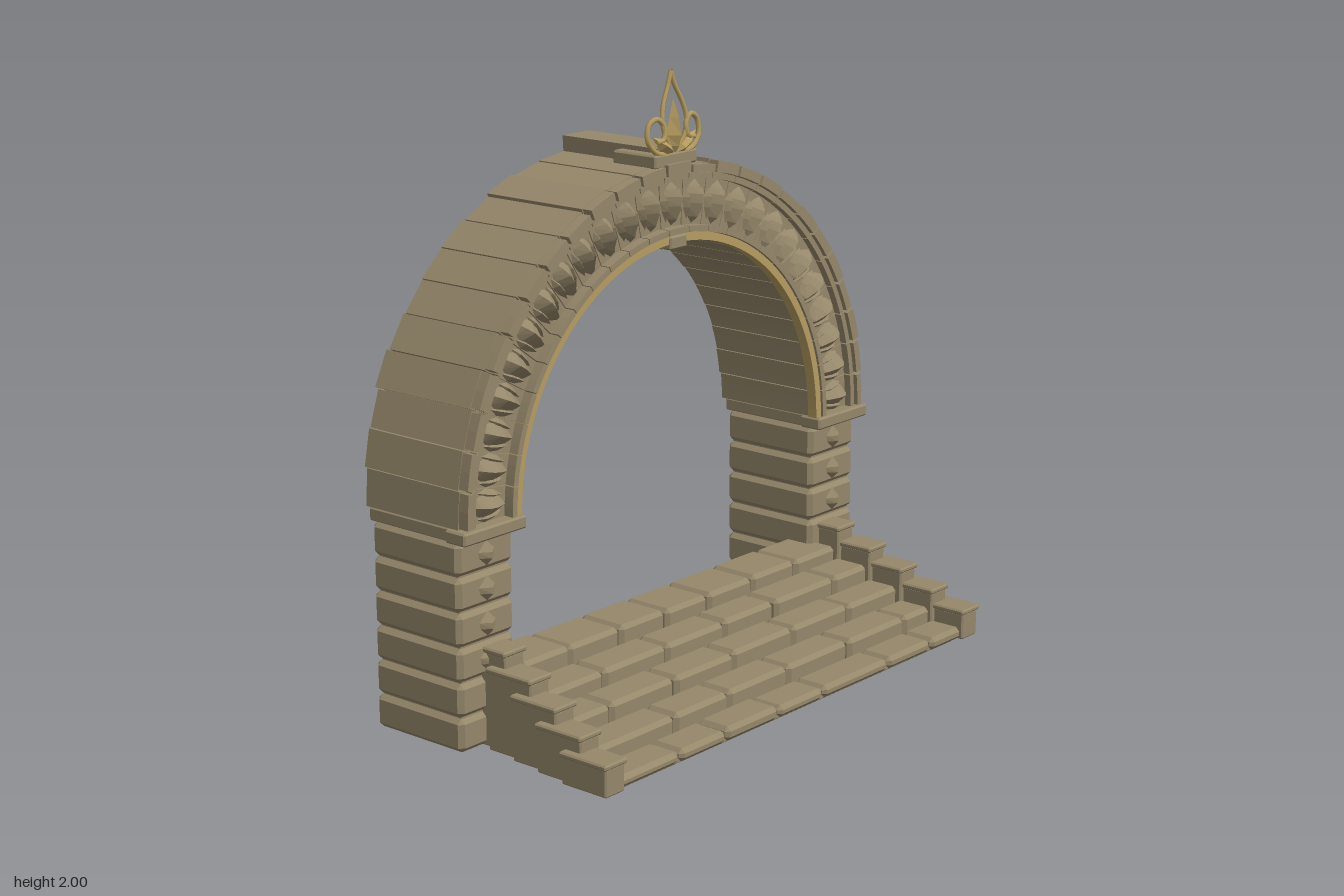
import * as THREE from 'three';
import { ConvexGeometry } from 'three/addons/geometries/ConvexGeometry.js';

const CY = 0.72; // height of the arch centre
const stone = new THREE.MeshStandardMaterial({ color: 0x95876a });
stone.name = 'stone';
stone.flatShading = true;
const gold = new THREE.MeshStandardMaterial({ color: 0xb59c60 });
gold.name = 'gold';
gold.side = THREE.DoubleSide;

let seed = 7;
const jitter = (a) => {
  seed = (seed * 16807) % 2147483647;
  return (seed / 2147483647 - 0.5) * 2 * a;
};

function add(parent, name, geometry, material = stone) {
  const mesh = new THREE.Mesh(geometry, material);
  mesh.name = name;
  parent.add(mesh);
  return mesh;
}

function group(parent, name) {
  const g = new THREE.Group();
  g.name = name;
  parent.add(g);
  return g;
}

// Box between two corners with chamfered edges
function block(x0, x1, y0, y1, z0, z1, c = 0.012) {
  const h = [(x1 - x0) / 2, (y1 - y0) / 2, (z1 - z0) / 2];
  const pts = [];
  for (const sx of [-1, 1]) for (const sy of [-1, 1]) for (const sz of [-1, 1]) {
    for (let k = 0; k < 3; k++) {
      const d = h.map((v, i) => (i === k ? v : v - c));
      pts.push(new THREE.Vector3(sx * d[0], sy * d[1], sz * d[2]));
    }
  }
  return new ConvexGeometry(pts).translate((x0 + x1) / 2, (y0 + y1) / 2, (z0 + z1) / 2);
}

// Curved wedge of the arch between two radii and two angles
function sector(r0, r1, a0, a1, z0, z1, inner = 3, outer = 3) {
  const shape = new THREE.Shape();
  for (let i = 0; i <= outer; i++) {
    const a = a0 + (a1 - a0) * i / outer;
    if (i === 0) shape.moveTo(r1 * Math.cos(a), r1 * Math.sin(a));
    else shape.lineTo(r1 * Math.cos(a), r1 * Math.sin(a));
  }
  for (let i = inner; i >= 0; i--) {
    const a = a0 + (a1 - a0) * i / inner;
    shape.lineTo(r0 * Math.cos(a), r0 * Math.sin(a));
  }
  shape.closePath();
  const g = new THREE.ExtrudeGeometry(shape, { depth: z1 - z0, bevelEnabled: false });
  return g.translate(0, CY, z0);
}

// Faceted leaf: mirrored half outline [x, y] from base to tip, raised along a ridge
function leaf(half, depth) {
  const n = half.length - 1;
  const pos = [];
  for (let i = 0; i < n; i++) {
    const [xa, ya] = half[i], [xb, yb] = half[i + 1];
    const ra = [0, ya, depth * Math.sin(Math.PI * i / n)];
    const rb = [0, yb, depth * Math.sin(Math.PI * (i + 1) / n)];
    pos.push(...ra, xa, ya, 0, xb, yb, 0, ...ra, xb, yb, 0, ...rb);
    pos.push(...ra, -xb, yb, 0, -xa, ya, 0, ...ra, ...rb, -xb, yb, 0);
  }
  const g = new THREE.BufferGeometry();
  g.setAttribute('position', new THREE.Float32BufferAttribute(pos, 3));
  g.computeVertexNormals();
  return g;
}

function buildArch(root) {
  const arch = group(root, 'arch');
  const count = 25, step = Math.PI / count;
  const outline = [[0, -0.075], [0.022, -0.05], [0.042, -0.005], [0.044, 0.025], [0.03, 0.05], [0, 0.075]];
  const leafShape = leaf(outline, 0.05);
  const lobeShape = leaf([[0, -0.05], [0.014, -0.01], [0.016, 0.025], [0, 0.055]], 0.022);
  add(arch, 'archCore', sector(0.745, 0.955, 0, Math.PI, -0.47, -0.09, 60, 60));
  for (let i = 0; i < count; i++) {
    const a0 = i * step + 0.002, a1 = (i + 1) * step - 0.002, mid = (i + 0.5) * step;
    const isKey = i === 12;
    const r = 0.983 + jitter(0.008);
    if (!isKey) add(arch, 'voussoir', sector(0.735, r, a0, a1, -0.48 + jitter(0.005), -0.08, 3, 1));
    // Moulded front face
    add(arch, 'outerMoulding', sector(0.95, r - 0.003, a0 + 0.004, a1 - 0.004, -0.08, -0.042, 3, 2));
    add(arch, 'outerFillet', sector(0.928, 0.948, a0, a1, -0.08, -0.055));
    add(arch, 'innerFillet', sector(0.758, 0.778, a0, a1, -0.08, -0.045));
    // Leaf ornament with small side lobes
    const ornament = group(arch, 'leafOrnament');
    ornament.position.set(0.853 * Math.cos(mid), CY + 0.853 * Math.sin(mid), -0.084);
    ornament.rotation.z = mid - Math.PI / 2;
    add(ornament, 'leaf', leafShape);
    for (const s of [-1, 1]) {
      const lobe = add(ornament, 'leafLobe', lobeShape);
      lobe.position.set(s * 0.033, -0.01, 0.004);
      lobe.rotation.z = -s * 0.15;
    }
  }
  add(arch, 'innerBead', sector(0.73, 0.756, 0, Math.PI, -0.088, -0.052, 75, 75), gold);

  // Keystone running the full depth of the arch
  const key = new THREE.Shape();
  key.moveTo(-0.042, 1.43);
  key.lineTo(0.042, 1.43);
  key.lineTo(0.064, 1.755);
  key.lineTo(-0.064, 1.755);
  key.closePath();
  add(arch, 'keystone', new THREE.ExtrudeGeometry(key, { depth: 0.405, bevelEnabled: false }).translate(0, 0, -0.485));
  add(arch, 'keystoneFoot', block(-0.042, 0.042, 1.43, 1.475, -0.09, -0.045, 0.006));
  add(arch, 'finialBase', block(-0.103, 0.103, 1.695, 1.74, -0.235, -0.055, 0.006));
}

function buildFinial(root) {
  const finial = group(root, 'finial');
  finial.position.z = -0.08;
  const v = (x, y, z) => new THREE.Vector3(x, y, z);
  for (const s of [-1, 1]) {
    const ogee = new THREE.CatmullRomCurve3([
      v(0, 1.995, 0), v(s * 0.016, 1.95, 0.002), v(s * 0.045, 1.895, 0.008),
      v(s * 0.058, 1.845, 0.015), v(s * 0.045, 1.79, 0.018), v(s * 0.01, 1.74, 0.012)]);
    add(finial, 'ogeeStem', new THREE.TubeGeometry(ogee, 24, 0.008, 6), gold);
    const scroll = new THREE.CatmullRomCurve3([
      v(s * 0.02, 1.735, 0.012), v(s * 0.085, 1.745, 0.016), v(s * 0.122, 1.785, 0.012),
      v(s * 0.115, 1.835, 0.008), v(s * 0.08, 1.852, 0.012), v(s * 0.052, 1.825, 0.018),
      v(s * 0.06, 1.785, 0.022), v(s * 0.09, 1.78, 0.02)]);
    add(finial, 'scroll', new THREE.TubeGeometry(scroll, 28, 0.009, 6), gold);
    const side = add(finial, 'sideLeaf', leaf([[0, 0], [0.022, 0.03], [0.022, 0.06], [0, 0.115]], 0.025), gold);
    side.position.set(s * 0.008, 1.735, 0.015);
    side.rotation.z = -s * 1.0;
  }
  const tall = add(finial, 'centreLeaf', leaf([[0, 0], [0.028, 0.04], [0.033, 0.075], [0.018, 0.13], [0, 0.19]], 0.035), gold);
  tall.position.set(0, 1.72, 0.01);
}

function buildPillars(root) {
  const studShape = leaf([[0, -0.04], [0.032, -0.012], [0.036, 0.008], [0, 0.042]], 0.032);
  for (const s of [-1, 1]) {
    const pillar = group(root, s > 0 ? 'leftPillar' : 'rightPillar');
    const span = (a, b) => (s > 0 ? [a, b] : [-b, -a]);
    const h = 0.1125;
    add(pillar, 'pillarCore', block(...span(0.755, 0.965), 0.01, 0.71, -0.44, -0.095, 0.002));
    for (let i = 0; i < 6; i++) {
      const y = 0.005 + i * h;
      add(pillar, 'pillarBlock', block(...span(0.738, 0.982), y + 0.002, y + h - 0.002, -0.455, -0.08, 0.016));
      if (i > 1) {
        const stud = add(pillar, 'stud', studShape);
        stud.position.set(s * 0.86, y + h / 2, -0.081);
      }
    }
    add(pillar, 'pillarTop', block(...span(0.738, 0.982), 0.68, 0.722, -0.46, -0.08, 0.004));
    add(pillar, 'capital', block(...span(0.725, 0.997), 0.68, 0.722, -0.12, -0.035, 0.006));
  }
}

function buildSteps(root) {
  const steps = group(root, 'steps');
  const seams = [
    [-0.6, -0.38, -0.12, 0.11, 0.46, 0.7],
    [-0.49, -0.23, 0.07, 0.39, 0.7],
    [-0.65, -0.35, -0.06, 0.25, 0.55],
    [-0.55, -0.25, 0.04, 0.3, 0.62],
    [-0.57, -0.33, -0.11, 0.1, 0.33, 0.56],
  ];
  const fronts = [0.472, 0.355, 0.237, 0.117, -0.005, -0.19];
  seams.forEach((row, i) => {
    const half = 0.875 - i * 0.022;
    const xs = [-half, ...row, half];
    const top = 0.048 + i * 0.0535;
    for (let k = 0; k < xs.length - 1; k++) {
      add(steps, 'stepStone', block(xs[k] + 0.003, xs[k + 1] - 0.003, 0.005, top + jitter(0.004),
        fronts[i + 1] - (i < 4 ? 0.01 : 0), fronts[i] + jitter(0.004), 0.014));
    }
    // Capped side blocks stepping up towards the pillars
    const h = 0.11 + i * 0.0545, z1 = fronts[i] + 0.012, z0 = z1 - 0.185;
    for (const s of [-1, 1]) {
      const out = 0.95 - i * 0.019;
      const span = (a, b) => (s > 0 ? [a, b] : [-b, -a]);
      add(steps, 'sideBlock', block(...span(out - 0.085, out), 0.004, h - 0.015, z0 + 0.003, z1 - 0.003, 0.005));
      add(steps, 'sideCap', block(...span(out - 0.093, out + 0.009), h - 0.018, h, z0, z1 + 0.003, 0.005));
    }
  });
  // Solid base closing the joints
  add(steps, 'stepBase', block(-0.84, 0.84, 0, 0.035, -0.18, 0.455, 0.003));
}

export function createModel() {
  const root = new THREE.Group();
  root.name = 'stoneArchway';
  seed = 7;
  buildArch(root);
  buildFinial(root);
  buildPillars(root);
  buildSteps(root);
  return root;
}
